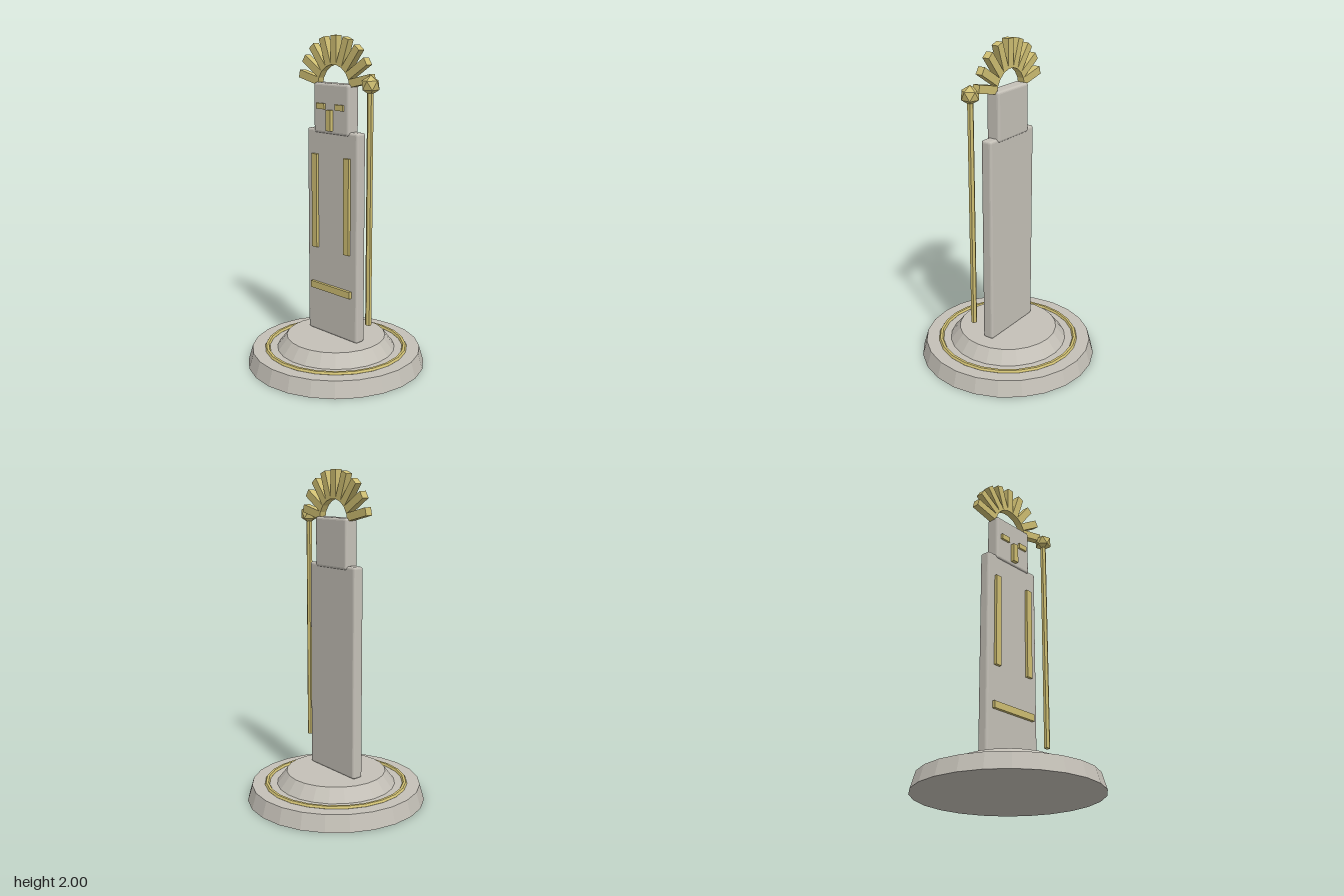
import * as THREE from 'three';
import { RoundedBoxGeometry } from 'three/addons/geometries/RoundedBoxGeometry.js';

export function createModel() {
  const model = new THREE.Group();
  model.name = 'statue';

  const stone = new THREE.MeshStandardMaterial({ color: 0xc4c0b7, flatShading: true });
  stone.name = 'pale stone';
  const gold = new THREE.MeshStandardMaterial({ color: 0xcebe72, flatShading: true });
  gold.name = 'gold';

  const add = (name, geometry, material, x = 0, y = 0, z = 0, parent = model) => {
    const mesh = new THREE.Mesh(geometry, material);
    mesh.name = name;
    mesh.position.set(x, y, z);
    parent.add(mesh);
    return mesh;
  };
  // Box given by its centre x, its bottom and top, and its back and front
  const block = (name, x, width, y0, y1, z0, z1) =>
    add(name, new THREE.BoxGeometry(width, y1 - y0, z1 - z0), gold, x, (y0 + y1) / 2, (z0 + z1) / 2);

  // Stepped round pedestal with a ring laid on the lower step
  add('lowerStep', new THREE.CylinderGeometry(0.52, 0.548, 0.097, 24), stone, 0, 0.0485);
  add('upperStep', new THREE.CylinderGeometry(0.305, 0.365, 0.078, 24), stone, 0, 0.136);
  const ring = new THREE.TorusGeometry(0.427, 0.015, 6, 24);
  ring.rotateX(-Math.PI / 2);
  add('pedestalRing', ring, gold, 0, 0.098);

  // Slab body and head with softened edges
  add('body', new RoundedBoxGeometry(0.422, 1.277, 0.07, 2, 0.014), stone, 0, 0.8125);
  add('head', new RoundedBoxGeometry(0.29, 0.296, 0.086, 2, 0.014), stone, 0, 1.577);

  // Face and raised trim on the front
  for (const side of [-1, 1]) {
    block(side < 0 ? 'rightEye' : 'leftEye', side * 0.077, 0.065, 1.573, 1.607, 0.035, 0.056);
    block(side < 0 ? 'rightStrip' : 'leftStrip', side * 0.135, 0.042, 0.72, 1.3, 0.03, 0.053);
  }
  block('nose', 0, 0.038, 1.45, 1.572, 0.035, 0.068);
  block('hemBand', 0, 0.335, 0.454, 0.496, 0.03, 0.054);

  // Fan of rays over the head
  const crown = new THREE.Group();
  crown.name = 'rayCrown';
  crown.position.y = 1.701;
  model.add(crown);
  const rayGeometry = new THREE.BoxGeometry(0.169, 0.047, 0.044);
  for (let i = 0; i < 9; i++) {
    const angle = THREE.MathUtils.degToRad(13 + i * 19.25);
    const ray = add('ray', rayGeometry, gold, Math.cos(angle) * 0.2145, Math.sin(angle) * 0.2145, 0, crown);
    ray.rotation.z = angle;
  }

  // Six-sided staff with a faceted orb
  add('staffShaft', new THREE.CylinderGeometry(0.0185, 0.0185, 1.385, 6), gold, 0.304, 1.0175, 0.031);
  const orb = new THREE.IcosahedronGeometry(0.056, 0);
  orb.rotateX(-Math.atan((1 + Math.sqrt(5)) / 2)); // one corner points straight up
  orb.rotateY(Math.PI / 2);
  add('staffOrb', orb, gold, 0.305, 1.732, 0.031);

  return model;
}
